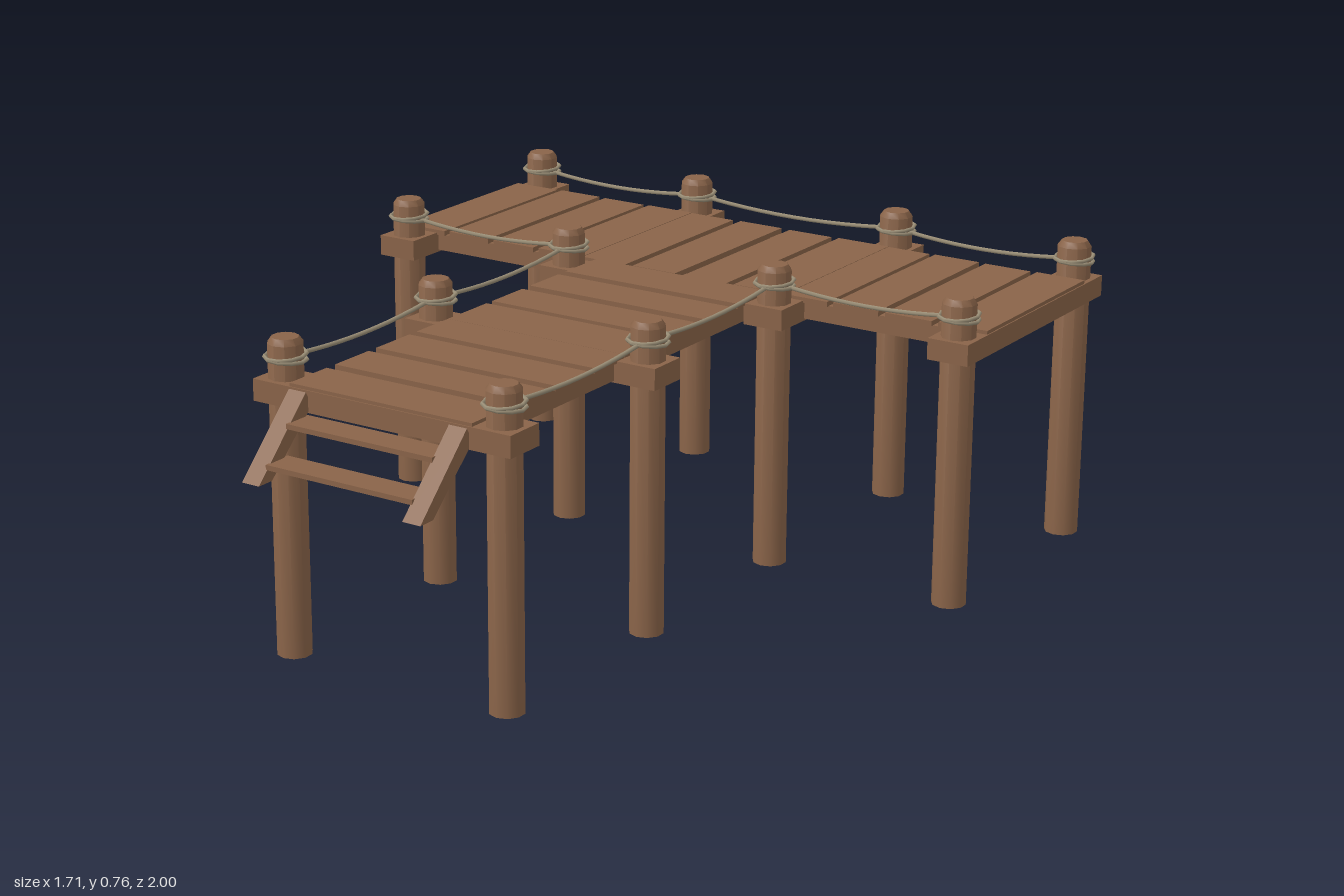
import * as THREE from 'three';
import { toCreasedNormals } from 'three/addons/utils/BufferGeometryUtils.js';

export function createModel() {
  const model = new THREE.Group();
  model.name = 'pier';
  const wood = new THREE.MeshStandardMaterial({ color: 0x8a6449 });
  wood.name = 'brown wood';
  const hemp = new THREE.MeshStandardMaterial({ color: 0x9c9078 });
  hemp.name = 'hemp rope';

  const add = (name, geo, mat, x = 0, y = 0, z = 0) => {
    const mesh = new THREE.Mesh(geo, mat);
    mesh.name = name;
    mesh.position.set(x, y, z);
    model.add(mesh);
    return mesh;
  };
  // Box given by its extents on each axis
  const slab = (name, x0, x1, y0, y1, z0, z1) =>
    add(name, new THREE.BoxGeometry(x1 - x0, y1 - y0, z1 - z0), wood,
      (x0 + x1) / 2, (y0 + y1) / 2, (z0 + z1) / 2);

  // Posts with chamfered tops, each wrapped by two turns of rope
  const profile = [[0, 0], [0.042, 0], [0.042, 0.748], [0.032, 0.762], [0, 0.762]]
    .map(([r, y]) => new THREE.Vector2(r, y));
  const postGeo = toCreasedNormals(new THREE.LatheGeometry(profile, 10), 0.7);
  const ringGeo = new THREE.TorusGeometry(0.048, 0.005, 5, 10).rotateX(Math.PI / 2);
  const posts = [];
  for (const x of [-0.8, -0.3, 0.3, 0.8]) for (const z of [-0.945, -0.345]) posts.push([x, z]);
  for (const x of [-0.3, 0.3]) for (const z of [0.21, 0.77]) posts.push([x, z]);
  for (const [x, z] of posts) {
    add('post', postGeo, wood, x, 0, z);
    for (const s of [-1, 1]) {
      const ring = add('ropeWrap', ringGeo, hemp, x, 0.715 + s * 0.004, z);
      ring.rotation.set(0.06 * s, 0, 0.05 * s);
    }
  }

  // Cross beams carried by the posts
  for (const x of [-0.8, -0.3, 0.3, 0.8])
    slab('headCrossBeam', x - 0.053, x + 0.053, 0.615, 0.667, -0.998, -0.292);
  for (const z of [0.21, 0.77])
    slab('walkwayCrossBeam', -0.353, 0.353, 0.615, 0.667, z - 0.053, z + 0.053);

  // Stringers under the planks
  for (const z of [-0.868, -0.422])
    slab('headStringer', -0.84, 0.84, 0.62, 0.663, z - 0.023, z + 0.023);
  for (const x of [-0.22, 0.22])
    slab('walkwayStringer', x - 0.023, x + 0.023, 0.62, 0.663, -0.4, 0.815);

  // Deck planks across the head of the pier
  const headPlanks = [[-0.852, -0.722], [-0.706, -0.584], [-0.566, -0.442], [-0.425, -0.29],
    [-0.302, -0.162], [-0.139, -0.014], [0.01, 0.135], [0.157, 0.302],
    [0.288, 0.42], [0.436, 0.56], [0.578, 0.703], [0.721, 0.85]];
  headPlanks.forEach(([a, b], i) =>
    slab('headPlank', a, b, 0.662, 0.675 + (i % 2) * 0.001, -0.904, -0.392));

  // Deck planks along the walkway
  const walkPlanks = [[-0.392, -0.258], [-0.227, -0.106], [-0.073, 0.053], [0.075, 0.23],
    [0.231, 0.354], [0.381, 0.507], [0.535, 0.658], [0.688, 0.82]];
  for (const [a, b] of walkPlanks) slab('walkwayPlank', -0.25, 0.25, 0.662, 0.675, a, b);

  // Short stair at the front end
  const side = new THREE.Shape([[1, 0.495], [0.83, 0.665], [0.81, 0.63], [0.955, 0.495]]
    .map(([z, y]) => new THREE.Vector2(z, y)));
  const sideGeo = new THREE.ExtrudeGeometry(side, { depth: 0.048, bevelEnabled: false });
  sideGeo.translate(0, 0, -0.024).rotateY(-Math.PI / 2);
  for (const x of [-0.22, 0.22]) add('stairSide', sideGeo, wood, x);
  slab('stairStep', -0.2, 0.2, 0.598, 0.61, 0.822, 0.897);
  slab('stairStep', -0.2, 0.2, 0.524, 0.536, 0.895, 0.97);

  // Sagging ropes from post to post
  const rope = (x0, z0, x1, z1) => {
    const points = [];
    for (let i = 0; i <= 8; i++) {
      const t = i / 8, sag = 0.018 * 4 * t * (1 - t);
      points.push(new THREE.Vector3(x0 + (x1 - x0) * t, 0.716 - sag, z0 + (z1 - z0) * t));
    }
    add('rope', new THREE.TubeGeometry(new THREE.CatmullRomCurve3(points), 12, 0.0055, 5), hemp);
  };
  rope(-0.3, -0.945, 0.3, -0.945);
  for (const s of [-1, 1]) {
    rope(s * 0.3, -0.945, s * 0.8, -0.945);
    rope(s * 0.3, -0.345, s * 0.8, -0.345);
    rope(s * 0.3, -0.345, s * 0.3, 0.21);
    rope(s * 0.3, 0.21, s * 0.3, 0.77);
  }
  return model;
}
